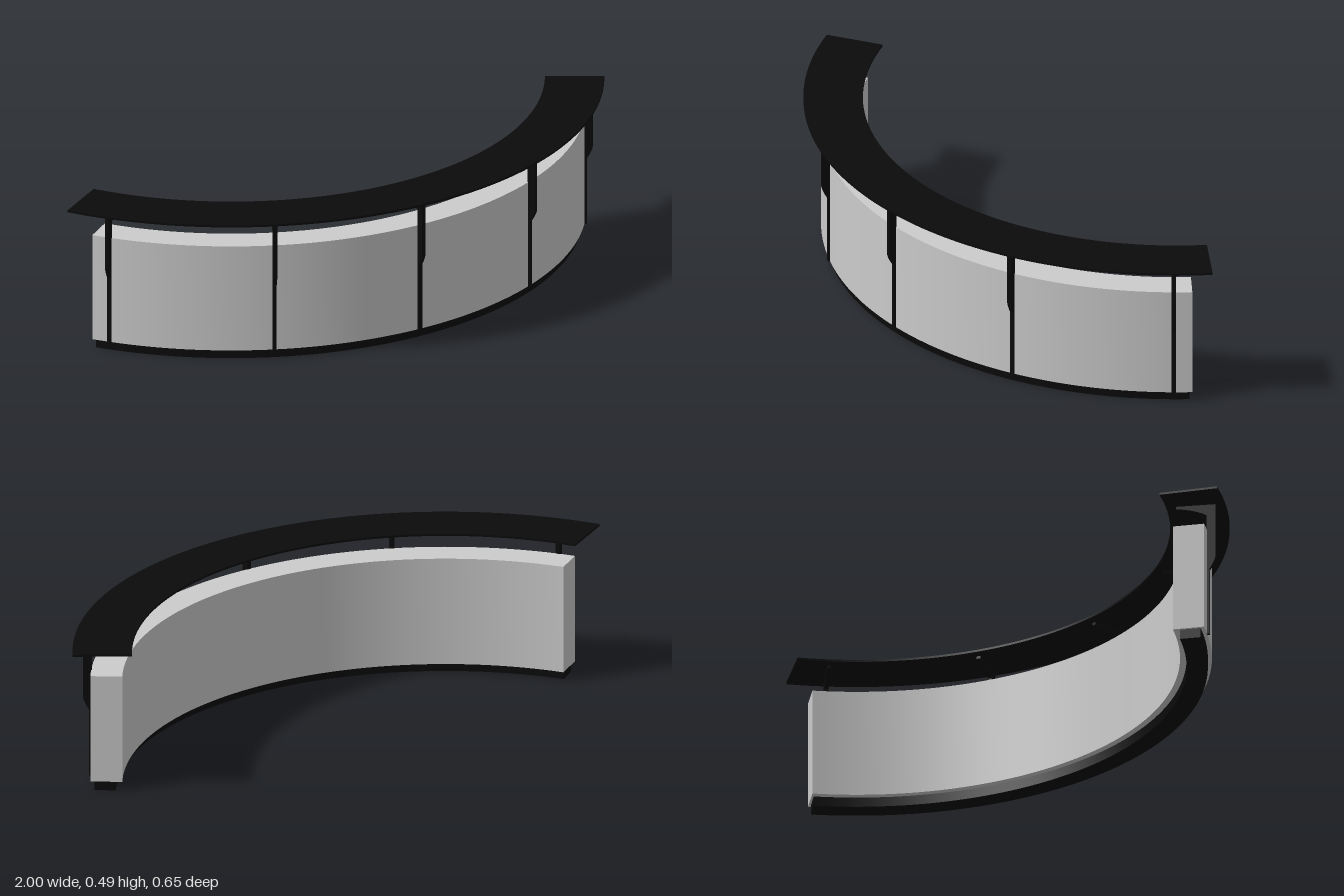
import * as THREE from 'three';
import { toCreasedNormals } from 'three/addons/utils/BufferGeometryUtils.js';

const CENTRE_Z = -0.853; // common centre of all arcs
const rad = THREE.MathUtils.degToRad;

// Ring sector from y0 to y1, spanning +-halfAngle degrees around the +z direction
function arcSlab(name, rInner, rOuter, halfAngle, y0, y1, material) {
  const a = -Math.PI / 2 - rad(halfAngle);
  const b = -Math.PI / 2 + rad(halfAngle);
  const shape = new THREE.Shape();
  shape.absarc(0, 0, rOuter, a, b, false);
  shape.absarc(0, 0, rInner, b, a, true);
  shape.closePath();
  const geometry = new THREE.ExtrudeGeometry(shape, {
    depth: y1 - y0, bevelEnabled: false, curveSegments: 64,
  });
  geometry.rotateX(-Math.PI / 2);
  geometry.translate(0, y0, CENTRE_Z);
  const mesh = new THREE.Mesh(toCreasedNormals(geometry, rad(30)), material);
  mesh.name = name;
  return mesh;
}

// Thin upright plate, drawn as (radius, height), with a curved arm under the counter top
function bracketGeometry(thickness) {
  const shape = new THREE.Shape();
  shape.moveTo(1.121, 0.032);
  shape.lineTo(1.13, 0.032);
  shape.lineTo(1.13, 0.257);
  shape.quadraticCurveTo(1.147, 0.283, 1.149, 0.3);
  shape.lineTo(1.149, 0.482);
  shape.lineTo(1.023, 0.482);
  shape.lineTo(1.023, 0.472);
  shape.quadraticCurveTo(1.075, 0.468, 1.121, 0.445);
  shape.closePath();
  const geometry = new THREE.ExtrudeGeometry(shape, {
    depth: thickness, bevelEnabled: false, curveSegments: 10,
  });
  geometry.translate(0, 0, -thickness / 2);
  geometry.rotateY(-Math.PI / 2);
  return toCreasedNormals(geometry, rad(30));
}

export function createModel() {
  const group = new THREE.Group();
  group.name = 'curvedCounter';
  const grey = new THREE.MeshStandardMaterial({ color: 0xcccccc });
  const black = new THREE.MeshStandardMaterial({ color: 0x0a0a0a });

  // Plinth, curved body and floating top
  group.add(arcSlab('plinth', 1.043, 1.11, 54.6, 0, 0.032, black));
  group.add(arcSlab('body', 1.022, 1.123, 55, 0.032, 0.391, grey));
  group.add(arcSlab('counterTop', 0.991, 1.179, 58, 0.481, 0.488, black));

  // Brackets spread along the front
  const geometry = bracketGeometry(0.013);
  for (const angle of [-52, -25, 0, 25, 52]) {
    const bracket = new THREE.Mesh(geometry, black);
    bracket.name = 'bracket';
    bracket.position.z = CENTRE_Z;
    bracket.rotation.y = rad(angle);
    group.add(bracket);
  }
  return group;
}
